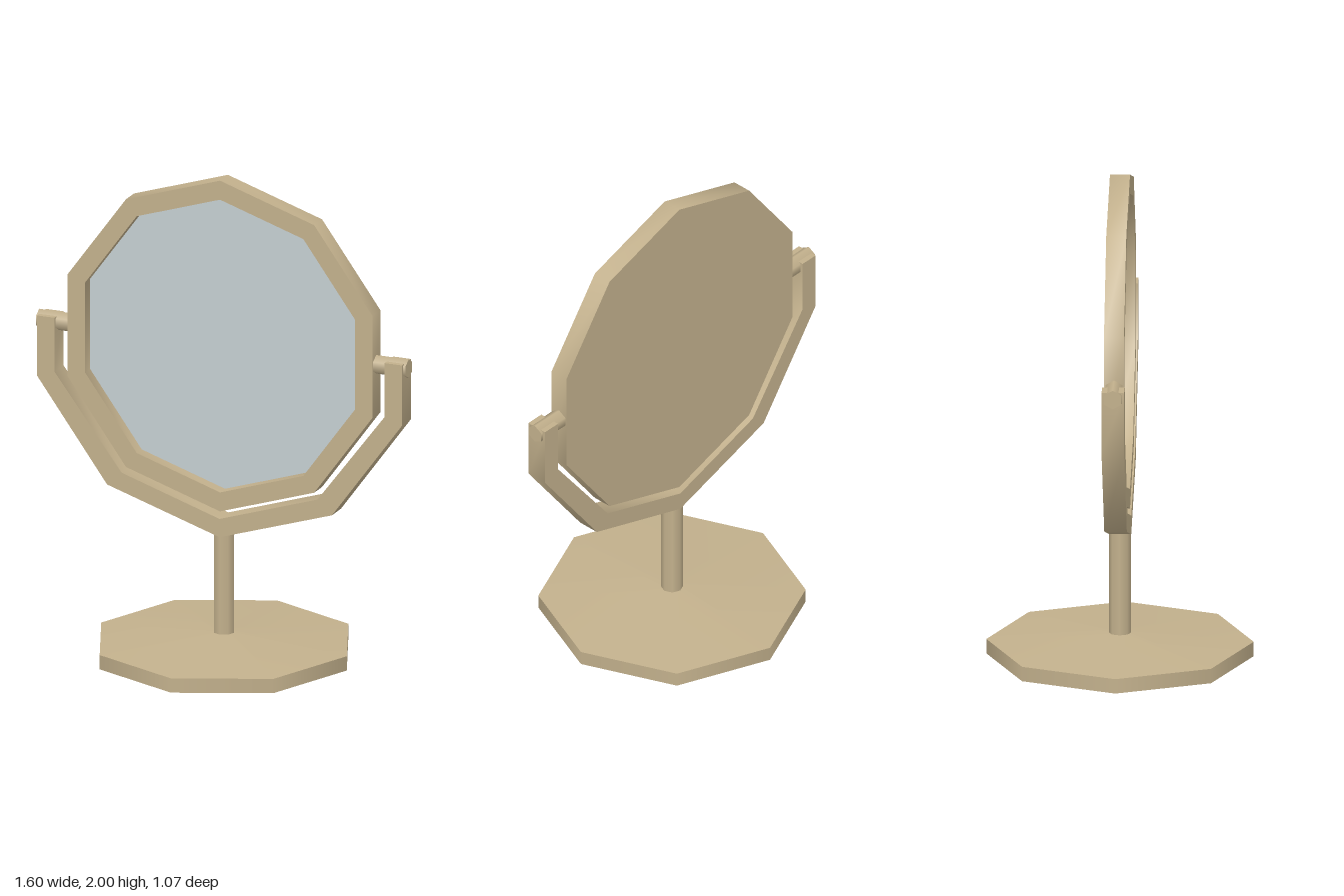
import * as THREE from 'three';
import { toCreasedNormals } from 'three/addons/utils/BufferGeometryUtils.js';

const CENTRE_Y = 1.305;

// Regular decagon with a corner at the top
function decagon(radius) {
  const pts = [];
  for (let i = 0; i < 10; i++) {
    const a = Math.PI / 2 + (i * Math.PI) / 5;
    pts.push(new THREE.Vector2(radius * Math.cos(a), radius * Math.sin(a)));
  }
  return pts;
}

// Extrude from z0 to z1, smoothing the shallow corners only
function slab(shape, z0, z1) {
  const geo = new THREE.ExtrudeGeometry(shape, { depth: z1 - z0, bevelEnabled: false });
  geo.translate(0, 0, z0);
  return toCreasedNormals(geo, 0.7);
}

export function createModel() {
  const wood = new THREE.MeshStandardMaterial({ color: 0xc2b08c });
  wood.name = 'tan wood';
  const glass = new THREE.MeshStandardMaterial({ color: 0xc4ced1 });
  glass.name = 'mirror glass';

  const model = new THREE.Group();
  model.name = 'tableMirror';
  const add = (name, geo, mat, y = 0, x = 0, z = 0) => {
    const mesh = new THREE.Mesh(geo, mat);
    mesh.name = name;
    mesh.position.set(x, y, z);
    model.add(mesh);
    return mesh;
  };

  // Octagonal foot with a shallow sloping top, and the post
  add('base', new THREE.CylinderGeometry(0.533, 0.533, 0.06, 8), wood, 0.03);
  add('baseSlope', new THREE.CylinderGeometry(0.045, 0.533, 0.034, 8, 1, true), wood, 0.077);
  add('post', new THREE.CylinderGeometry(0.043, 0.043, 0.45, 8), wood, 0.305);

  // Swinging frame, its closed back and the recessed glass
  const ring = new THREE.Shape(decagon(0.695));
  ring.holes.push(new THREE.Path(decagon(0.615)));
  add('frame', slab(ring, -0.04, 0.04), wood, CENTRE_Y);
  add('backPanel', slab(new THREE.Shape(decagon(0.615)), -0.04, -0.015), wood, CENTRE_Y);
  add('mirrorGlass', new THREE.ShapeGeometry(new THREE.Shape(decagon(0.615))), glass, CENTRE_Y, 0, -0.01);

  // Yoke: right half outline, mirrored to the other side
  const outer = [[0, 0.503], [0.488, 0.66], [0.792, 1.077], [0.792, 1.33]];
  const inner = [[0.716, 1.33], [0.716, 1.103], [0.425, 0.718], [0, 0.58]];
  const half = [...outer, ...inner];
  const mirrored = half.slice(1, -1).reverse().map(([x, y]) => [-x, y]);
  const yokeShape = new THREE.Shape([...half, ...mirrored].map(([x, y]) => new THREE.Vector2(x, y)));
  add('yoke', slab(yokeShape, -0.045, 0.045), wood);

  // Hexagonal pivot pins
  for (const side of [1, -1]) {
    const pin = new THREE.CylinderGeometry(0.039, 0.039, 0.15, 6, 1, false, Math.PI / 2);
    pin.rotateZ(Math.PI / 2);
    add(side > 0 ? 'leftPin' : 'rightPin', pin, wood, 1.304, side * 0.727);
  }
  return model;
}
